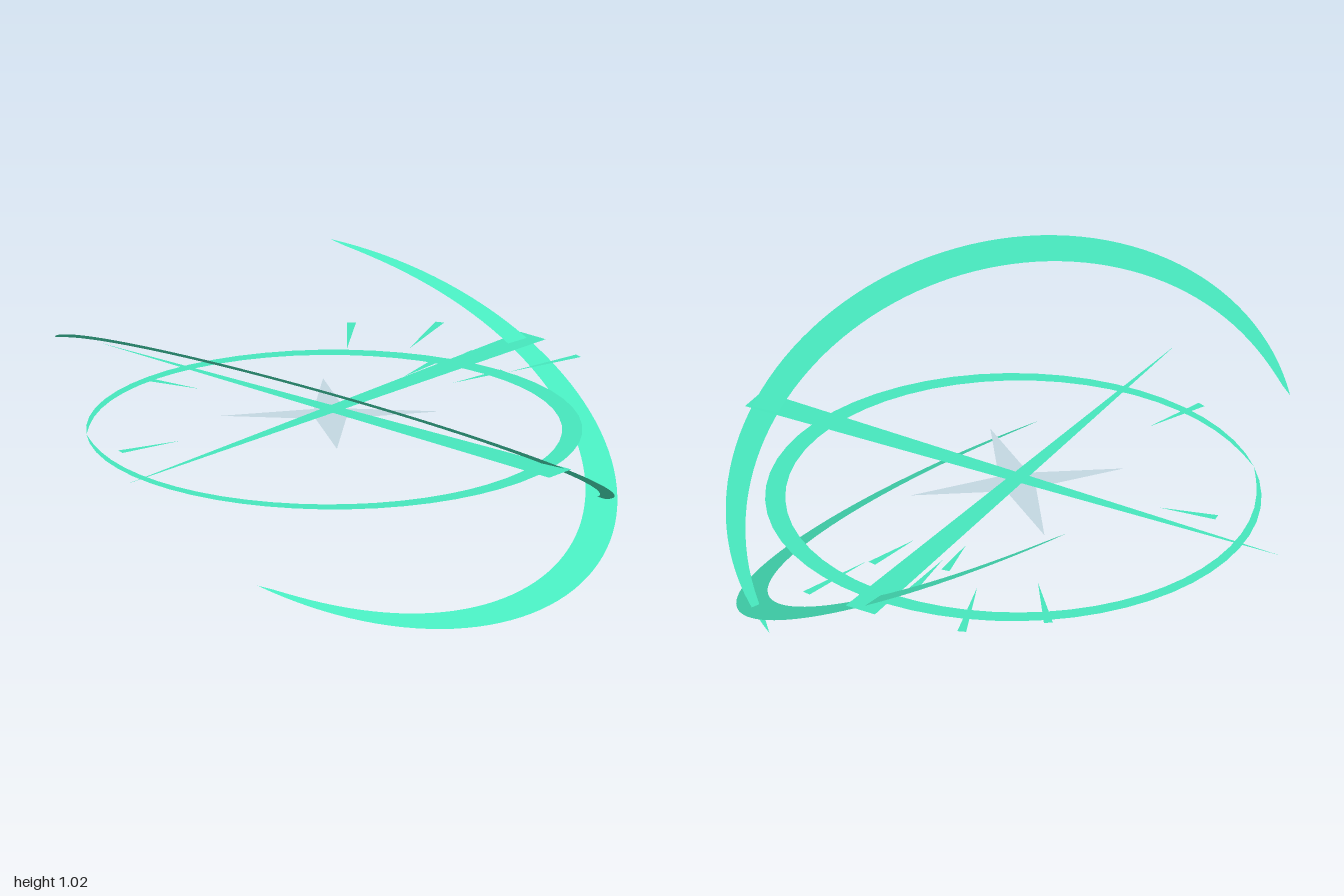
import * as THREE from 'three';

export function createModel() {
  const model = new THREE.Group();
  const teal = new THREE.MeshStandardMaterial({ color: 0x48ebc0, side: THREE.DoubleSide });
  teal.name = 'teal';
  const paleGrey = new THREE.MeshStandardMaterial({ color: 0xc4d8e2, side: THREE.DoubleSide });
  paleGrey.name = 'pale grey';

  const add = (name, geometry, material, parent = model) => {
    const mesh = new THREE.Mesh(geometry, material);
    mesh.name = name;
    parent.add(mesh);
  };

  // Horizontal sheet from [x, z] points at height y
  const flat = (name, points, y, material, parent) => {
    const shape = new THREE.Shape(points.map(([x, z]) => new THREE.Vector2(x, -z)));
    add(name, new THREE.ShapeGeometry(shape).rotateX(-Math.PI / 2).translate(0, y, 0), material, parent);
  };

  // Flat arc of a given radius, widest in the middle and tapering inwards to both tips
  const taperedArc = (radius, width, halfDegrees, segments) => {
    const half = THREE.MathUtils.degToRad(halfDegrees);
    const positions = [], index = [];
    for (let i = 0; i <= segments; i++) {
      const t = (i / segments) * 2 - 1, a = t * half;
      const w = width * Math.pow(Math.max(0, Math.cos((t * Math.PI) / 2)), 0.65);
      for (const r of [radius, radius - w]) positions.push(r * Math.cos(a), r * Math.sin(a), 0);
      const k = i * 2;
      if (i < segments) index.push(k, k + 2, k + 1, k + 1, k + 2, k + 3);
    }
    const geometry = new THREE.BufferGeometry();
    geometry.setAttribute('position', new THREE.Float32BufferAttribute(positions, 3));
    geometry.setIndex(index);
    geometry.computeVertexNormals();
    return geometry;
  };

  // Four-pointed star
  const star = [];
  for (let i = 0; i < 8; i++) {
    const r = i % 2 ? 0.077 : 0.39, a = (i * Math.PI) / 4;
    star.push([-0.027 + r * Math.cos(a), r * Math.sin(a)]);
  }
  flat('compassStar', star, 0.54, paleGrey);

  // Two long crossing needles, mirrored front to back
  for (const s of [1, -1]) {
    flat(s > 0 ? 'frontNeedle' : 'backNeedle',
      [[-0.795, -0.77 * s], [0.785, 0.725 * s], [0.7, 0.812 * s]], s > 0 ? 0.56 : 0.555, teal);
  }

  // Small wedge marks: [wide end x, z, tip x, z]
  const marks = new THREE.Group();
  marks.name = 'wedgeMarks';
  model.add(marks);
  [
    [0.112, -0.995, 0.078, -0.71], [0.425, -0.98, 0.295, -0.69],
    [0.892, -0.58, 0.63, -0.415], [0.375, -0.545, 0.26, -0.39],
    [0.615, -0.432, 0.43, -0.31], [0.528, -0.655, 0.365, -0.47],
    [-0.65, -0.417, -0.47, -0.3], [-0.795, 0.372, -0.575, 0.265],
  ].forEach(([x, z, tx, tz]) => {
    const len = Math.hypot(x - tx, z - tz), h = 0.016;
    const px = (-(z - tz) / len) * h, pz = ((x - tx) / len) * h;
    flat('wedgeMark', [[x + px, z + pz], [x - px, z - pz], [tx, tz]], 0.54, teal, marks);
  });

  // Level ring, thinning to nothing on one side
  add('ring', taperedArc(0.88, 0.072, 180, 56).rotateX(-Math.PI / 2).translate(-0.012, 0.48, 0), teal);

  // Two tilted crescents, leaning forward and back
  const crescent = (name, side, midDegrees, centre) => {
    const u = new THREE.Vector3(0.775, 0, 0.633 * side).normalize();
    const v = new THREE.Vector3(-0.559, 0.468, 0.684 * side).normalize();
    const n = new THREE.Vector3().crossVectors(u, v);
    const geometry = taperedArc(1.032, 0.12, 100, 72);
    geometry.rotateZ(THREE.MathUtils.degToRad(midDegrees));
    geometry.applyMatrix4(new THREE.Matrix4().makeBasis(u, v, n).setPosition(...centre));
    add(name, geometry, teal);
  };
  crescent('upperCrescent', 1, 45.5, [-0.013, 0.54, 0.035]);
  crescent('lowerCrescent', -1, -47, [0.013, 0.484, 0.006]);

  return model;
}
